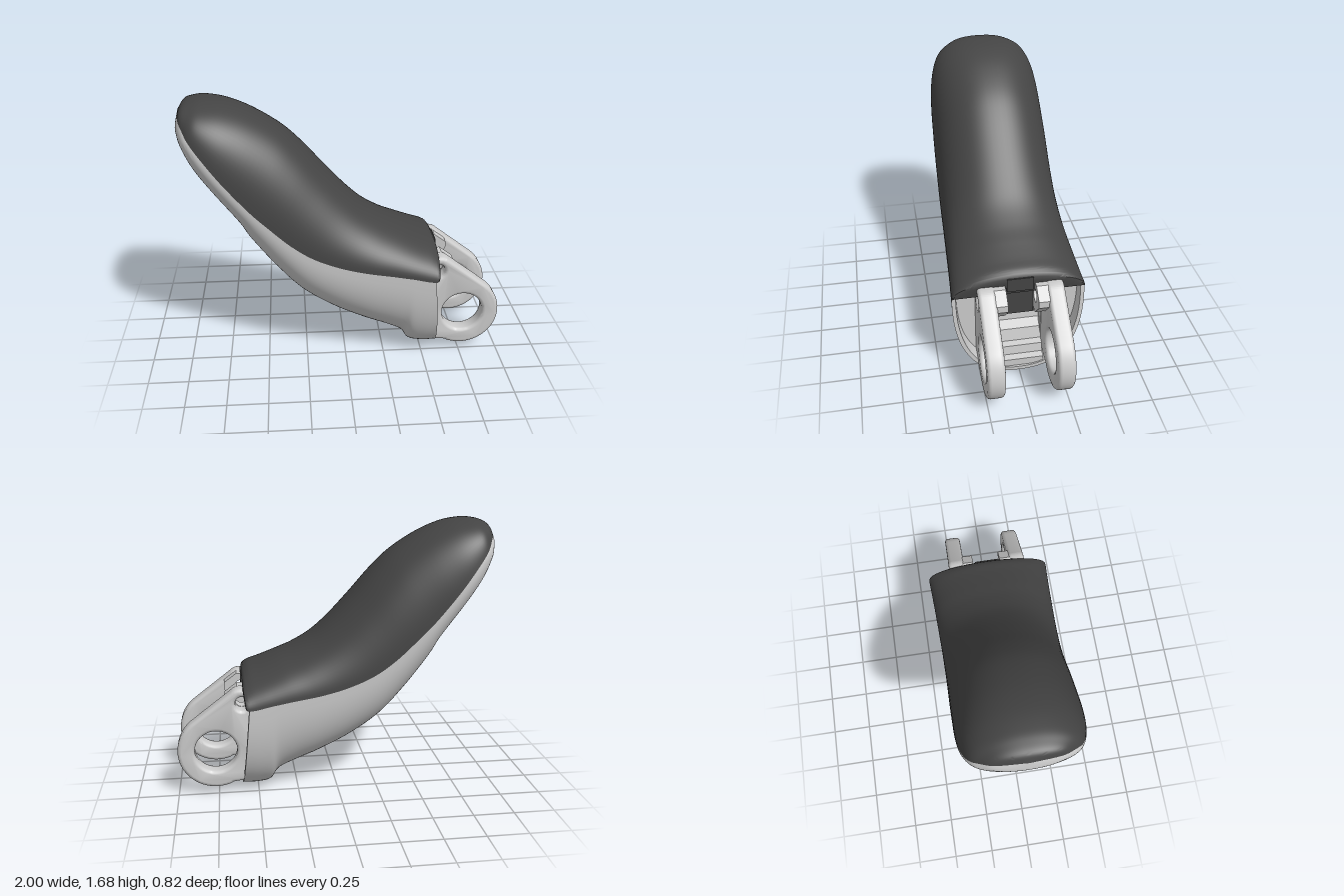
import * as THREE from 'three';
import { toCreasedNormals } from 'three/addons/utils/BufferGeometryUtils.js';

const grey = new THREE.MeshStandardMaterial({ color: 0xcccccc, side: THREE.DoubleSide });
const dark = new THREE.MeshStandardMaterial({ color: 0x444444, side: THREE.DoubleSide });

// Stations: seam x, y, half width | crown x, y | belly x, y
const stations = [
  [-0.985, 1.62, 0, -0.985, 1.62, -0.985, 1.62],
  [-0.97, 1.60, 0.17, -0.95, 1.665, -1.0, 1.54],
  [-0.94, 1.56, 0.25, -0.89, 1.682, -0.995, 1.49],
  [-0.90, 1.50, 0.31, -0.82, 1.685, -0.975, 1.43],
  [-0.82, 1.395, 0.35, -0.70, 1.665, -0.92, 1.31],
  [-0.72, 1.265, 0.368, -0.55, 1.605, -0.82, 1.165],
  [-0.58, 1.10, 0.375, -0.38, 1.50, -0.66, 0.95],
  [-0.48, 1.00, 0.378, -0.25, 1.38, -0.60, 0.84],
  [-0.34, 0.87, 0.38, -0.10, 1.21, -0.45, 0.635],
  [-0.20, 0.775, 0.382, 0.03, 1.07, -0.28, 0.445],
  [-0.04, 0.71, 0.385, 0.14, 0.97, -0.08, 0.305],
  [0.12, 0.67, 0.39, 0.26, 0.895, 0.12, 0.205],
  [0.28, 0.645, 0.396, 0.37, 0.845, 0.27, 0.145],
  [0.37, 0.63, 0.40, 0.44, 0.815, 0.37, 0.095],
  [0.43, 0.62, 0.403, 0.49, 0.795, 0.42, 0.025],
  [0.50, 0.605, 0.407, 0.545, 0.775, 0.50, 0.008],
  [0.55, 0.60, 0.41, 0.575, 0.755, 0.60, 0.01],
];
const ROWS = 96, COLS = 40;

const curve = (pts) => new THREE.CatmullRomCurve3(pts, false, 'catmullrom', 0.5);
const seam = curve(stations.map((s) => new THREE.Vector3(s[0], s[1], s[2])));
const crown = curve(stations.map((s) => new THREE.Vector3(s[3], s[4], 0)));
const belly = curve(stations.map((s) => new THREE.Vector3(s[5], s[6], 0)));

// Superelliptic half section between the seam and its far point
function halfRing(s, far, n, start) {
  const ring = [];
  for (let j = 0; j <= COLS; j++) {
    const a = start + (Math.PI * j) / COLS;
    const c = j === 0 || j === COLS ? Math.sign(Math.cos(a)) : Math.sign(Math.cos(a)) * Math.abs(Math.cos(a)) ** (2 / n);
    const d = j === 0 || j === COLS ? 0 : Math.abs(Math.sin(a)) ** (2 / n);
    ring.push(new THREE.Vector3(s.x + d * (far.x - s.x), s.y + d * (far.y - s.y), s.z * c));
  }
  return ring;
}

function loft(rings) {
  const index = [], cols = rings[0].length;
  for (let i = 0; i < rings.length - 1; i++) {
    for (let j = 0; j < cols - 1; j++) {
      const a = i * cols + j, c = a + cols;
      index.push(a, c, a + 1, a + 1, c, c + 1);
    }
  }
  const g = new THREE.BufferGeometry().setFromPoints(rings.flat());
  g.setIndex(index);
  return toCreasedNormals(g, 0.7);
}

function bodyRings(farCurve, start, n0, n1) {
  const rings = [];
  for (let i = 0; i <= ROWS; i++) {
    const t = i / ROWS;
    rings.push(halfRing(seam.getPoint(t), farCurve.getPoint(t), n0 + (n1 - n0) * t, start));
  }
  return rings;
}

const shapeOf = (pts) => new THREE.Shape(pts.map(([x, y]) => new THREE.Vector2(x, y)));

function addHole(shape, x, y, r) {
  shape.holes.push(new THREE.Path().absarc(x, y, r, 0, Math.PI * 2, true));
}

// Plate drawn in the side plane, filling z0 to z1 with rounded edges
function plate(shape, z0, z1, bevel = 0) {
  const g = new THREE.ExtrudeGeometry(shape, {
    depth: z1 - z0 - 2 * bevel, bevelEnabled: bevel > 0, bevelThickness: bevel,
    bevelSize: bevel, bevelOffset: -bevel, bevelSegments: 3, curveSegments: 24,
  });
  g.translate(0, 0, z0 + bevel);
  return toCreasedNormals(g, 0.6);
}

export function createModel() {
  const model = new THREE.Group();
  const add = (name, geometry, material = grey) => {
    const mesh = new THREE.Mesh(geometry, material);
    mesh.name = name;
    model.add(mesh);
    return mesh;
  };
  const v = (x, y, z = 0) => new THREE.Vector3(x, y, z);

  // Soft upper pad with a rounded, closed front lip
  const padRings = bodyRings(crown, 0, 2.3, 2.1);
  padRings.push(halfRing(v(0.565, 0.605, 0.408), v(0.588, 0.735), 2.1, 0));
  padRings.push(halfRing(v(0.572, 0.615, 0.4), v(0.588, 0.705), 2.1, 0));
  padRings.push(halfRing(v(0.572, 0.615, 0.4), v(0.572, 0.615), 2.1, 0));
  add('upperPad', loft(padRings), dark);

  // Lower shell, turned inwards at the front to form a recessed rim
  const shellRings = bodyRings(belly, Math.PI, 2.1, 2.5);
  shellRings.push(halfRing(v(0.552, 0.6, 0.385), v(0.6, 0.035), 2.5, Math.PI));
  shellRings.push(halfRing(v(0.49, 0.6, 0.375), v(0.49, 0.045), 2.5, Math.PI));
  add('lowerShell', loft(shellRings));

  // Recessed end wall with a central channel opening
  const wall = shapeOf(halfRing(v(0, 0.6, 0.39), v(0, 0.035), 2.5, Math.PI).map((p) => [p.z, p.y]));
  wall.holes.push(new THREE.Path([[-0.15, 0.07], [-0.15, 0.58], [0.15, 0.58], [0.15, 0.07]]
    .map(([x, y]) => new THREE.Vector2(x, y))));
  const wallGeometry = new THREE.ExtrudeGeometry(wall, { depth: 0.06, bevelEnabled: false });
  wallGeometry.rotateY(Math.PI / 2).translate(0.44, 0, 0);
  add('endWall', wallGeometry);

  // Stepped floor of the channel
  add('channelFloor', plate(shapeOf([
    [0.45, 0.05], [0.59, 0.04], [0.59, 0.09], [0.55, 0.10], [0.54, 0.16], [0.50, 0.17],
    [0.48, 0.25], [0.42, 0.28], [0.40, 0.42], [0.36, 0.42], [0.38, 0.14],
  ]), -0.155, 0.155));

  // Hinge lugs with pin holes, and the thicker bosses inside them
  const lug = new THREE.Shape();
  lug.moveTo(0.42, 0.14);
  lug.lineTo(0.58, 0.085);
  lug.quadraticCurveTo(0.63, 0.085, 0.66, 0.078);
  lug.absarc(0.76, 0.29, 0.237, -1.98, 0.96, false);
  lug.lineTo(0.66, 0.665);
  lug.quadraticCurveTo(0.635, 0.69, 0.6, 0.69);
  lug.lineTo(0.42, 0.69);
  lug.closePath();
  addHole(lug, 0.76, 0.29, 0.132);
  addHole(lug, 0.59, 0.595, 0.044);
  const boss = shapeOf([[0.46, 0.47], [0.6, 0.47], [0.7, 0.58], [0.7, 0.625], [0.62, 0.685], [0.46, 0.685]]);
  addHole(boss, 0.59, 0.595, 0.044);
  for (const side of [1, -1]) {
    const name = side > 0 ? 'left' : 'right';
    add(name + 'HingeLug', plate(lug, side > 0 ? 0.155 : -0.262, side > 0 ? 0.262 : -0.155, 0.022));
    add(name + 'HingeBoss', plate(boss, side > 0 ? 0.092 : -0.17, side > 0 ? 0.17 : -0.092));
  }

  // Pad core hanging between the lugs, with a foot and a front tab
  const box = (name, x0, x1, y0, y1, w) => add(name,
    new THREE.BoxGeometry(x1 - x0, y1 - y0, w).translate((x0 + x1) / 2, (y0 + y1) / 2, 0), dark);
  box('padCore', 0.4, 0.54, 0.43, 0.7, 0.182);
  box('padCoreFoot', 0.4, 0.53, 0.425, 0.475, 0.3);
  box('padTab', 0.5, 0.595, 0.645, 0.735, 0.16);
  return model;
}
